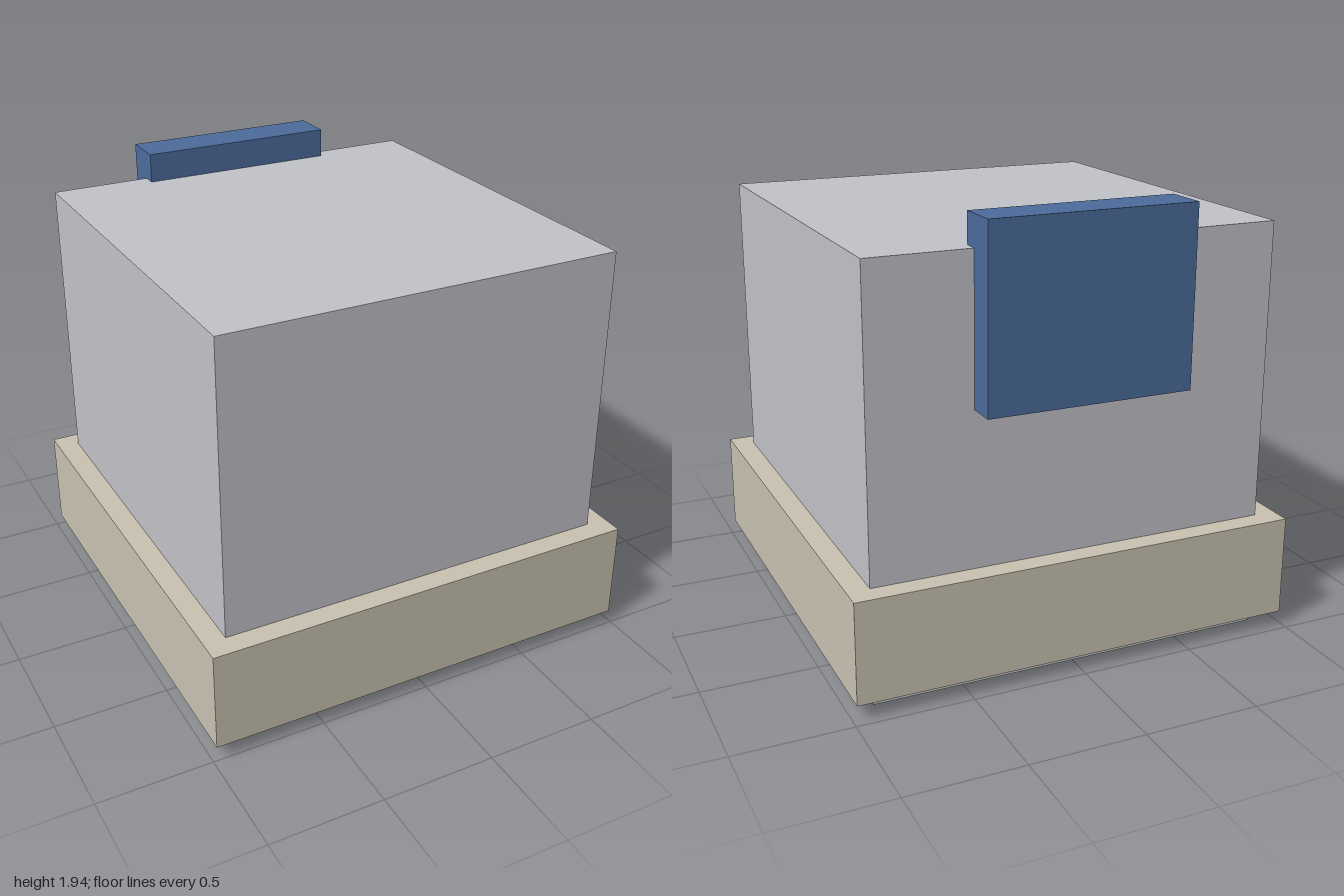
import * as THREE from 'three';

const grey = new THREE.MeshStandardMaterial({ name: 'light grey', color: 0xc2c3c8 });
const sand = new THREE.MeshStandardMaterial({ name: 'sand', color: 0xc9c2b1 });
const blue = new THREE.MeshStandardMaterial({ name: 'blue', color: 0x4c6c9c });

// Box given by its lower and upper corners
function block(name, material, min, max) {
  const size = max.map((v, i) => v - min[i]);
  const mesh = new THREE.Mesh(new THREE.BoxGeometry(...size), material);
  mesh.position.set(...max.map((v, i) => (v + min[i]) / 2));
  mesh.name = name;
  return mesh;
}

export function createModel() {
  const model = new THREE.Group();
  model.name = 'bandedBox';
  model.add(
    // Main body
    block('body', grey, [-0.887, 0, -0.875], [0.887, 1.81, 0.903]),
    // Wide band around the foot, raised just off the ground
    block('baseBand', sand, [-0.983, 0.067, -0.967], [0.983, 0.51, 1]),
    // Plate on the back, rising over the top edge
    block('backPlate', blue, [-0.444, 1.178, -1], [0.444, 1.94, -0.81])
  );
  return model;
}
